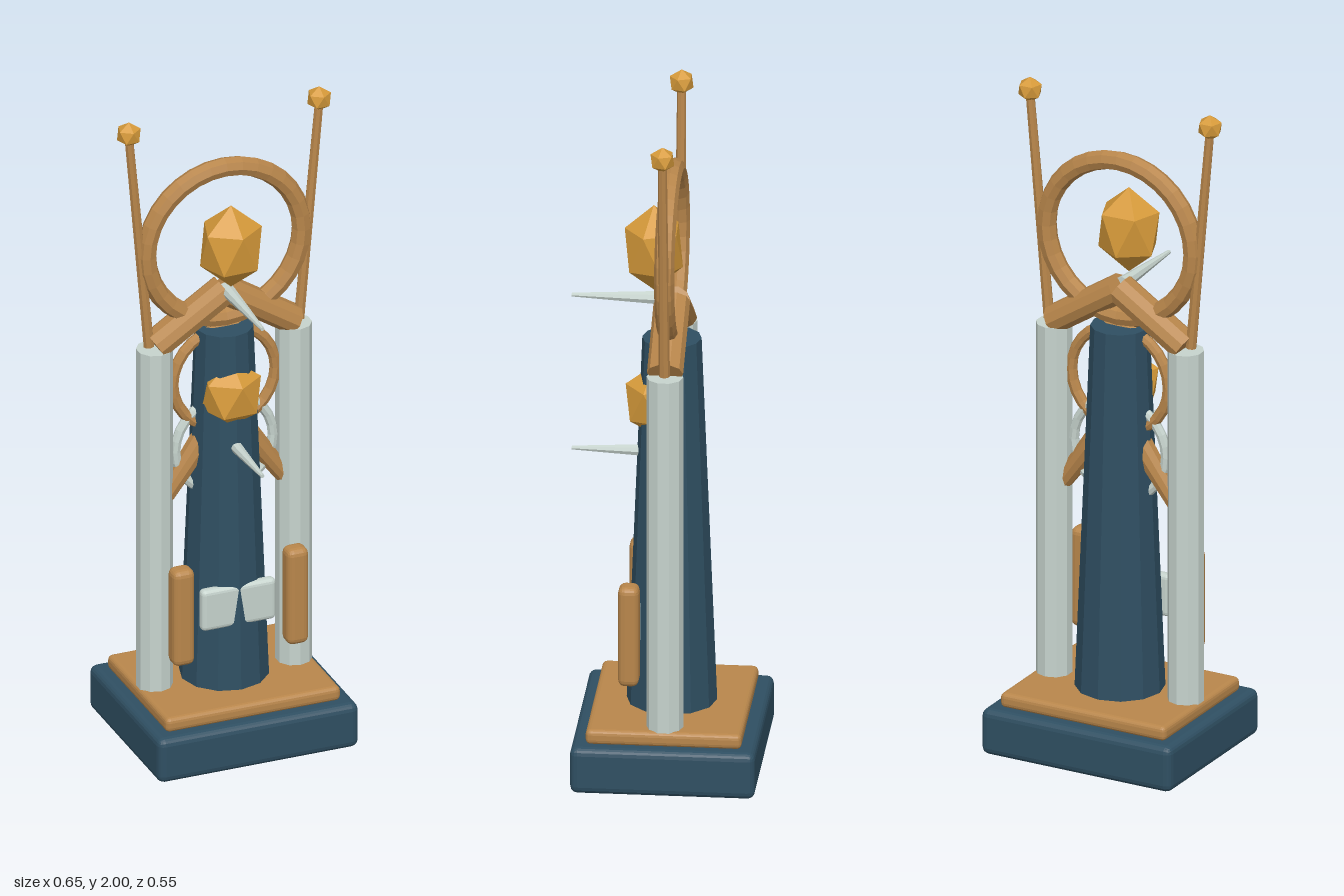
import * as THREE from 'three';
import { RoundedBoxGeometry } from 'three/addons/geometries/RoundedBoxGeometry.js';

const material = (name, color) => {
  const m = new THREE.MeshStandardMaterial({ color, flatShading: true });
  m.name = name;
  return m;
};

export function createModel() {
  const model = new THREE.Group();
  model.name = 'monument';
  const navy = material('navy', 0x2f4f62);
  const bronze = material('bronze', 0xb8864b);
  const gold = material('gold', 0xd69a3a);
  const pale = material('pale stone', 0xc6d3cd);
  const Z = -0.012; // depth of the main axis

  const add = (name, geometry, mat, x, y, z) => {
    const mesh = new THREE.Mesh(geometry, mat);
    mesh.name = name;
    mesh.position.set(x, y, z);
    model.add(mesh);
    return mesh;
  };
  const block = (name, w, h, d, r, mat, x, y, z) =>
    add(name, new RoundedBoxGeometry(w, h, d, 2, r), mat, x, y, z);

  // Round bar between two points, r0 at the start and r1 at the end
  const bar = (name, a, b, r0, r1, sides, mat) => {
    const from = new THREE.Vector3(...a), to = new THREE.Vector3(...b);
    const dir = to.clone().sub(from);
    const mid = from.add(to).multiplyScalar(0.5);
    const mesh = add(name, new THREE.CylinderGeometry(r1, r0, dir.length(), sides), mat, mid.x, mid.y, mid.z);
    mesh.quaternion.setFromUnitVectors(new THREE.Vector3(0, 1, 0), dir.normalize());
    return mesh;
  };

  // Faceted gem standing on a vertex
  const gem = (name, r, sx, sy, sz, x, y, z) => {
    const g = new THREE.IcosahedronGeometry(r, 0);
    g.rotateZ(Math.atan(2 / (1 + Math.sqrt(5))));
    g.rotateY(0.35);
    g.scale(sx, sy, sz);
    return add(name, g, gold, x, y, z);
  };

  // Base and plinth
  block('base', 0.62, 0.14, 0.53, 0.022, navy, 0, 0.07, Z);
  block('plinth', 0.54, 0.045, 0.447, 0.015, bronze, 0, 0.16, Z);

  // Tapered central column
  add('centralColumn', new THREE.CylinderGeometry(0.085, 0.13, 1.12, 12), navy, 0, 0.735, Z);

  // Plaque let into the column
  block('plaque', 0.23, 0.13, 0.034, 0.014, pale, 0, 0.445, 0.0875);

  // Rings, upper to lower
  add('halo', new THREE.TorusGeometry(0.239, 0.029, 8, 32), bronze, 0, 1.56, Z);
  add('middleRing', new THREE.TorusGeometry(0.158, 0.017, 8, 28), bronze, 0, 1.13, Z);
  add('lowerRing', new THREE.TorusGeometry(0.15, 0.015, 8, 28), pale, 0, 0.915, Z);

  // Gems and forward spikes
  gem('upperGem', 0.1, 1, 1.3, 0.93, 0, 1.57, 0.04);
  gem('lowerGem', 0.097, 1, 1.1, 0.93, 0, 1.1, 0.04);
  for (const [name, y] of [['upperSpike', 1.415], ['lowerSpike', 0.943]]) {
    bar(name, [0, y, 0], [0, y, 0.275], 0.022, 0.006, 8, pale);
  }

  // Mirrored parts
  for (const [side, s] of [['left', 1], ['right', -1]]) {
    add(side + 'Column', new THREE.CylinderGeometry(0.053, 0.053, 1.08, 10), pale, s * 0.215, 0.72, Z);
    block(side + 'Pillar', 0.067, 0.305, 0.06, 0.02, bronze, s * 0.176, 0.445, 0.095);
    const arm = bar(side + 'UpperArm', [0, 1.408, Z], [s * 0.213, 1.27, Z], 0.052, 0.052, 10, bronze);
    arm.scale.x = 0.83;
    bar(side + 'LowerArm', [s * 0.03, 0.995, Z], [s * 0.182, 0.78, Z], 0.038, 0.027, 10, bronze);
    bar(side + 'Rod', [s * 0.232, 1.27, Z], [s * 0.294, 1.95, Z], 0.016, 0.013, 8, bronze);
    gem(side + 'Finial', 0.038, 1, 1, 1, s * 0.294, 1.962, Z);
  }
  return model;
}
